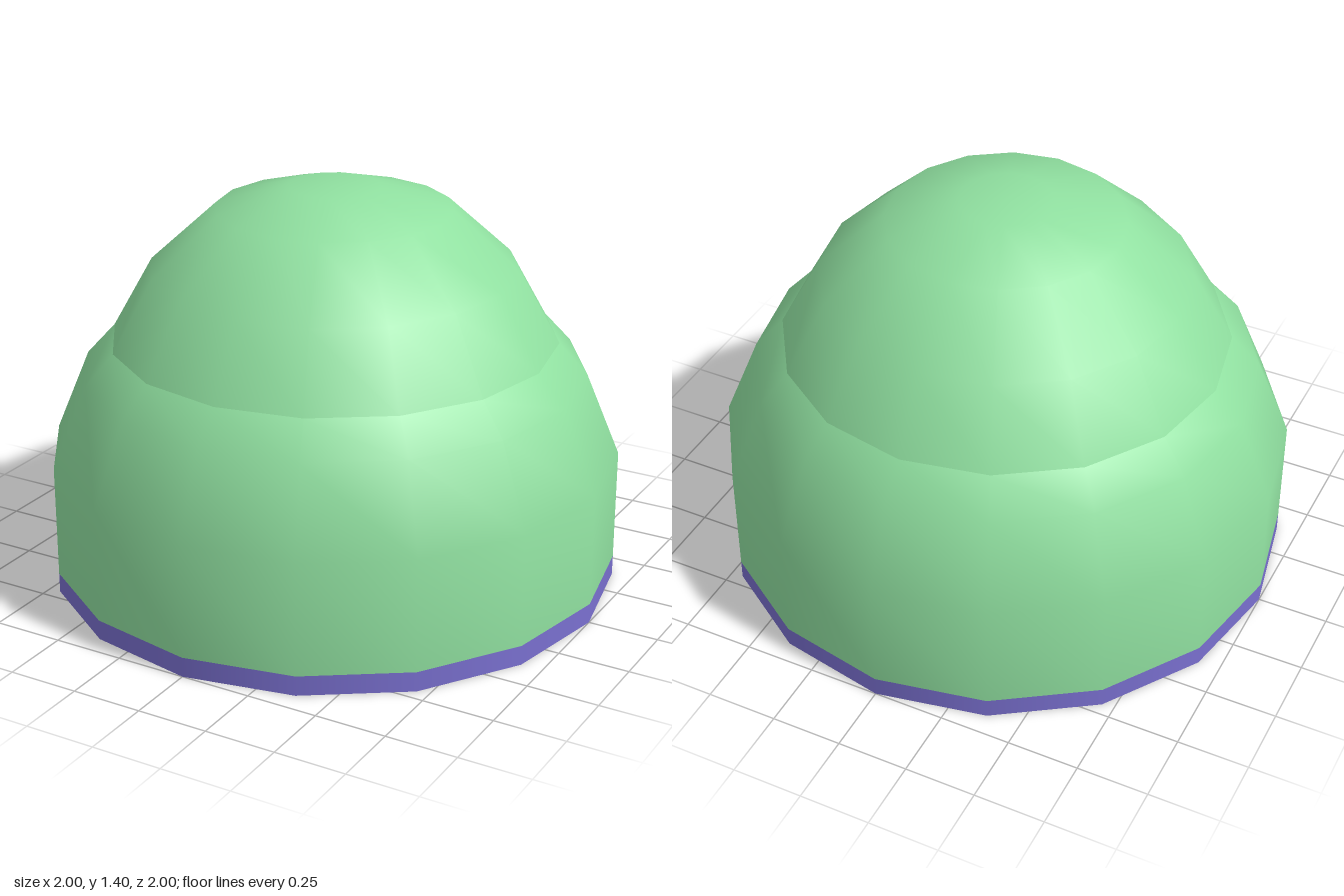
import * as THREE from 'three';

const SIDES = 16;
const green = new THREE.MeshStandardMaterial({ color: 0x90e0a0 });
const purple = new THREE.MeshStandardMaterial({ color: 0x7a70d0 });
const dark = new THREE.MeshStandardMaterial({ color: 0x222222 });

// Turns a [radius, height] profile around the y axis
function turned(name, profile, material) {
  const points = profile.map(([r, y]) => new THREE.Vector2(r, y));
  const mesh = new THREE.Mesh(new THREE.LatheGeometry(points, SIDES), material);
  mesh.name = name;
  return mesh;
}

export function createModel() {
  const model = new THREE.Group();
  model.name = 'dome';
  model.add(
    // Rounded cap rising out of the wider body
    turned('upperDome', [[0.83, 0.76], [0.78, 0.87], [0.64, 1.12], [0.41, 1.33], [0.16, 1.405], [0, 1.405]], green),
    // Straight wall that curves in and meets the cap
    turned('lowerDome', [[1, 0.07], [1, 0.47], [0.88, 0.76], [0.78, 0.87], [0.72, 0.935]], green),
    // Coloured trim around the foot
    turned('baseBand', [[1, 0], [1, 0.07]], purple),
    // Underside: flat rim, shallow inner wall and recessed floor
    turned('bottomRim', [[0.92, 0], [1, 0]], green),
    turned('innerWall', [[0.92, 0.02], [0.92, 0]], green),
    turned('floor', [[0, 0.02], [0.92, 0.02]], dark),
  );
  return model;
}
